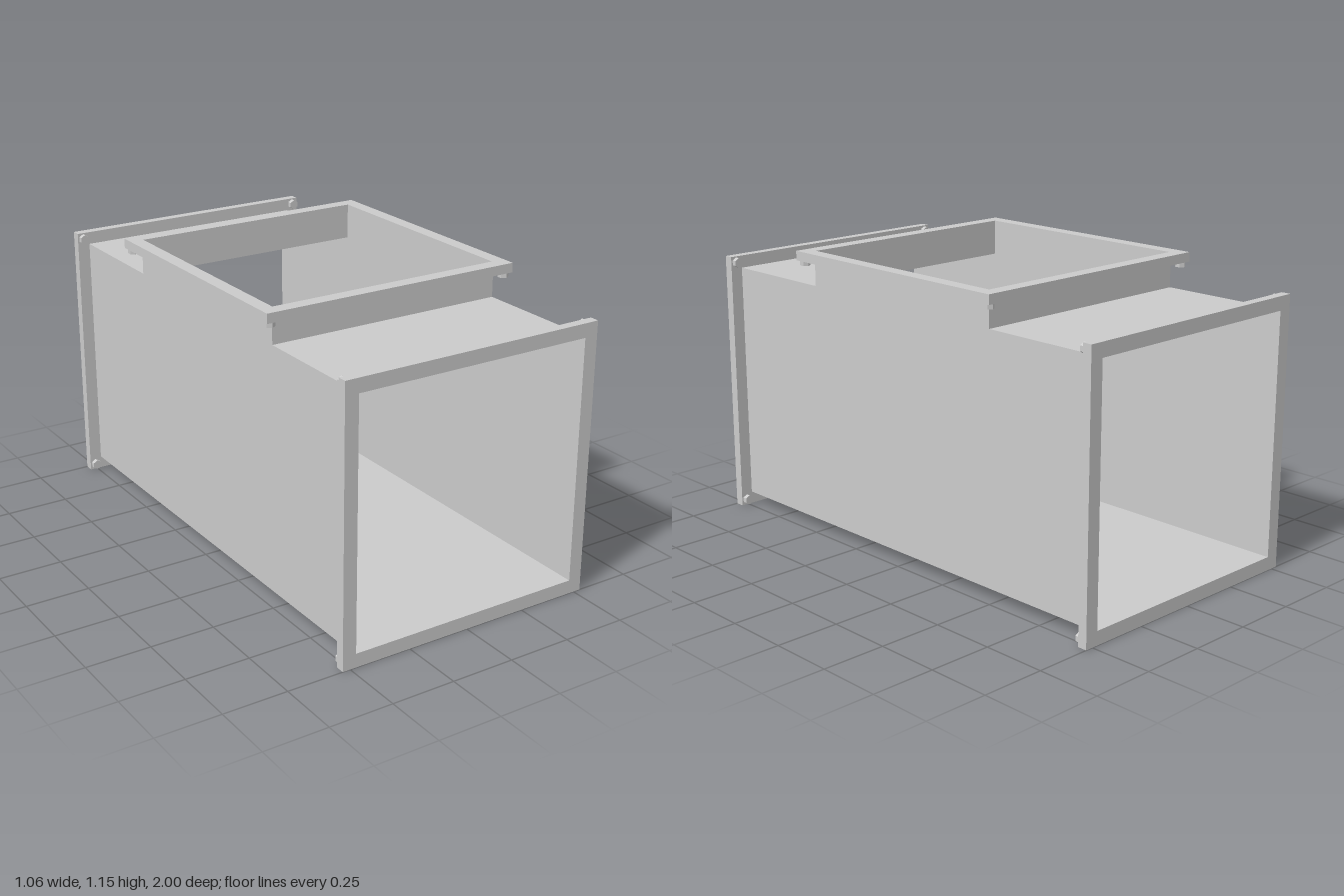
import * as THREE from 'three';

const MID = 0.53;      // height of the duct axis
const OUT = 0.48;      // outer half width of the sheet walls
const WALL = 0.004;    // sheet thickness
const FLANGE = 0.53;   // outer half width of the flanges
const DEPTH = 0.037;   // flange depth
const TOP = 1.147;     // top of the branch flange

const material = new THREE.MeshStandardMaterial({ color: 0xcccccc, flatShading: true });

function add(parent, name, geometry, x = 0, y = 0, z = 0) {
  const mesh = new THREE.Mesh(geometry, material);
  mesh.name = name;
  mesh.position.set(x, y, z);
  parent.add(mesh);
  return mesh;
}

function square(Type, h) {
  return new Type([[-h, -h], [h, -h], [h, h], [-h, h]].map(([x, y]) => new THREE.Vector2(x, y)));
}

// Square flange with its face at z = 0 and corner bolts behind it
function makeFlange(name) {
  const flange = new THREE.Group();
  flange.name = name;
  const shape = square(THREE.Shape, FLANGE);
  shape.holes.push(square(THREE.Path, OUT - WALL));
  add(flange, 'flangeFrame', new THREE.ExtrudeGeometry(shape, { depth: DEPTH, bevelEnabled: false }), 0, 0, -DEPTH);
  const bolt = new THREE.CylinderGeometry(0.02, 0.02, 0.02, 6).rotateX(Math.PI / 2);
  for (const x of [-0.506, 0.506])
    for (const y of [-0.506, 0.506]) add(flange, 'cornerBolt', bolt, x, y, -DEPTH - 0.009);
  return flange;
}

export function createModel() {
  const model = new THREE.Group();
  model.name = 'ductBranch';
  const end = 1 - DEPTH;
  const low = MID - OUT, high = MID + OUT, neckTop = TOP - DEPTH;

  // Side walls: one sheet each, including the side of the branch neck
  const side = new THREE.Shape([
    [-end, low], [end, low], [end, high], [OUT, high],
    [OUT, neckTop], [-OUT, neckTop], [-OUT, high], [-end, high],
  ].map(([z, y]) => new THREE.Vector2(z, y)));
  const sideGeometry = new THREE.ExtrudeGeometry(side, { depth: WALL, bevelEnabled: false })
    .rotateY(-Math.PI / 2);
  add(model, 'leftWall', sideGeometry, OUT);
  add(model, 'rightWall', sideGeometry, -OUT + WALL);

  // Floor
  const inner = 2 * (OUT - WALL);
  add(model, 'floor', new THREE.BoxGeometry(inner, WALL, 2 * end), 0, low + WALL / 2, 0);

  // Roof sheets and neck walls on both sides of the branch opening
  for (const s of [1, -1]) {
    add(model, 'roofSheet', new THREE.BoxGeometry(inner, WALL, end - OUT + WALL),
      0, high - WALL / 2, s * (end + OUT - WALL) / 2);
    add(model, 'neckWall', new THREE.BoxGeometry(inner, neckTop - high, WALL),
      0, (neckTop + high) / 2, s * (OUT - WALL / 2));
  }

  // Flanges on the three openings
  const front = makeFlange('frontFlange');
  front.position.set(0, MID, 1);
  const back = makeFlange('backFlange');
  back.position.set(0, MID, -1);
  back.rotation.y = Math.PI;
  const branch = makeFlange('branchFlange');
  branch.position.set(0, TOP, 0);
  branch.rotation.x = -Math.PI / 2;
  model.add(front, back, branch);
  return model;
}
